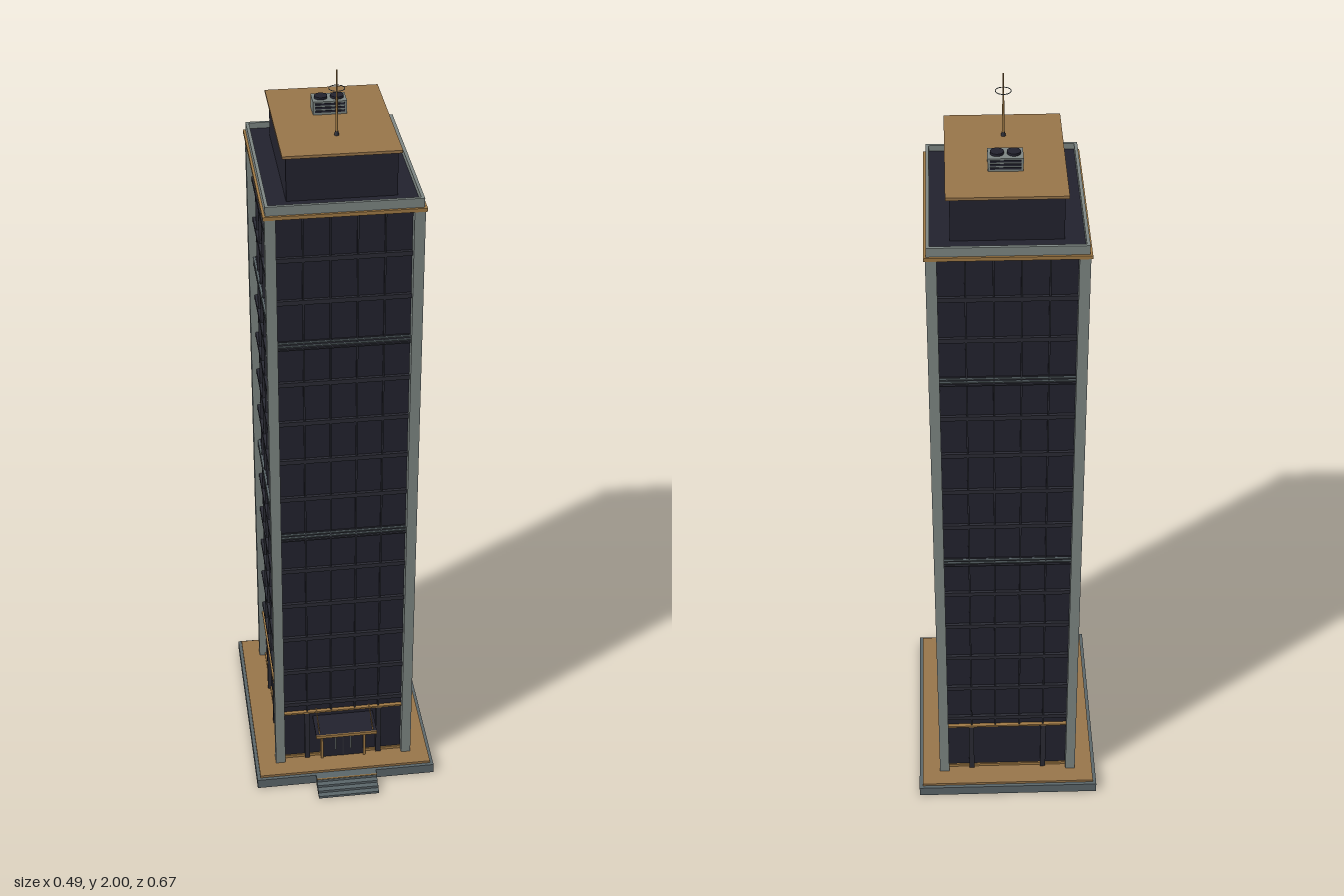
import * as THREE from 'three';

const mat = (name, color, extra = {}) => new THREE.MeshStandardMaterial({ name, color, ...extra });

export function createModel() {
  const M = {
    glass: mat('dark glass', 0x22222e),
    frame: mat('frame', 0x2a2b34),
    stone: mat('pale stone', 0x7d8683),
    slate: mat('slate', 0x5b666a),
    tan: mat('tan paving', 0x98754a),
    bronze: mat('bronze', 0xa07a45),
  };
  const model = new THREE.Group();
  model.name = 'tower';
  const CZ = -0.0315; // depth centre of the tower

  const add = (name, geo, m, x = 0, y = 0, z = 0, parent = model) => {
    const mesh = new THREE.Mesh(geo, m);
    mesh.name = name;
    mesh.position.set(x, y, z);
    parent.add(mesh);
    return mesh;
  };
  // box given by its ranges
  const box = (name, m, x0, x1, y0, y1, z0, z1, parent) =>
    add(name, new THREE.BoxGeometry(x1 - x0, y1 - y0, z1 - z0), m,
      (x0 + x1) / 2, (y0 + y1) / 2, (z0 + z1) / 2, parent);
  // box centred on the tower axis, by half sizes
  const slab = (name, m, hx, hz, y0, y1) => box(name, m, -hx, hx, y0, y1, CZ - hz, CZ + hz);
  // thin rod between two points
  const rod = (name, m, a, b, r) => {
    const d = new THREE.Vector3().subVectors(b, a);
    const mesh = add(name, new THREE.CylinderGeometry(r, r, d.length(), 8), m);
    mesh.position.copy(a).addScaledVector(d, 0.5);
    mesh.quaternion.setFromUnitVectors(new THREE.Vector3(0, 1, 0), d.normalize());
    return mesh;
  };

  // plinth and paving
  slab('plinth', M.slate, 0.245, 0.302, 0, 0.028);
  slab('paving', M.tan, 0.236, 0.293, 0.028, 0.035);

  // entrance steps
  for (let i = 0; i < 4; i++) {
    box('step', M.slate, -0.083, 0.083, 0, 0.007 * (i + 1), 0.26, 0.333 - i * 0.014);
  }
  box('stepEdge', M.bronze, -0.083, 0.083, 0.028, 0.0295, 0.286, 0.29);

  // glazed body and corner columns
  const GX = 0.168, GZ = 0.226;
  slab('glassBody', M.glass, GX, GZ, 0.035, 1.72);
  for (const sx of [-1, 1]) {
    for (const sz of [-1, 1]) {
      add('cornerColumn', new THREE.BoxGeometry(0.026, 1.672, 0.026), M.stone,
        sx * 0.175, 0.871, CZ + sz * 0.234);
    }
  }

  // floor bands
  const Y0 = 0.229, STEP = 0.1135;
  for (let i = 0; i < 14; i++) {
    const y = Y0 + i * STEP;
    if (i === 5 || i === 10) {
      // louvred service floors
      slab('louverBack', M.frame, GX + 0.004, GZ + 0.004, y - 0.018, y + 0.006);
      for (let k = 0; k < 3; k++) {
        const ly = y + 0.003 - k * 0.009;
        slab('louver', k < 2 ? M.slate : M.frame, GX + 0.009, GZ + 0.009, ly - 0.0015, ly + 0.0015);
      }
    } else {
      slab('floorBand', M.frame, GX + 0.008, GZ + 0.008, y - 0.006, y + 0.006);
    }
  }
  slab('bronzeLine', M.bronze, GX + 0.01, GZ + 0.01, 0.195, 0.2);
  slab('baseRail', M.bronze, GX + 0.004, GZ + 0.004, 0.035, 0.043);

  // mullions on all four faces
  const mullions = (count, half, place) => {
    for (let i = 1; i < count; i++) place(-half + (2 * half * i) / count);
  };
  for (const s of [-1, 1]) {
    mullions(5, 0.163, (x) => add('mullion', new THREE.BoxGeometry(0.004, 1.505, 0.012), M.frame,
      x, 0.9525, CZ + s * GZ));
    mullions(6, 0.221, (z) => add('mullion', new THREE.BoxGeometry(0.012, 1.505, 0.004), M.frame,
      s * GX, 0.9525, CZ + z));
    // ground floor piers
    for (const p of [-1, 1]) {
      add('pier', new THREE.BoxGeometry(0.014, 0.16, 0.014), M.frame, p * 0.099, 0.115, CZ + s * (GZ + 0.003));
      add('pier', new THREE.BoxGeometry(0.014, 0.16, 0.014), M.frame, s * (GX + 0.003), 0.115, CZ + p * 0.075);
    }
  }

  // tall blade on the left flank
  box('blade', M.bronze, 0.166, 0.191, 0.332, 1.482, 0.147, 0.165);

  // entrance
  const F = CZ + GZ;
  box('doorPanel', M.glass, -0.056, 0.056, 0.035, 0.15, F, F + 0.012);
  for (const s of [-1, 1]) {
    add('doorJamb', new THREE.BoxGeometry(0.006, 0.123, 0.02), M.bronze, s * 0.059, 0.0965, F + 0.008);
    add('doorHandle', new THREE.BoxGeometry(0.004, 0.045, 0.005), M.stone, s * 0.021, 0.085, F + 0.015);
  }
  box('doorHead', M.bronze, -0.062, 0.062, 0.15, 0.158, F - 0.002, F + 0.018);
  box('doorSplit', M.frame, -0.002, 0.002, 0.035, 0.15, F, F + 0.014);

  // canopy with stays
  box('canopy', M.glass, -0.083, 0.083, 0.169, 0.177, F, 0.275);
  box('canopyEdge', M.bronze, -0.083, 0.083, 0.168, 0.177, 0.275, 0.279);
  for (const s of [-1, 1]) {
    rod('canopyStay', M.bronze, new THREE.Vector3(s * 0.073, 0.177, 0.27),
      new THREE.Vector3(s * 0.073, 0.203, F), 0.0015);
  }

  // cornice and parapet
  slab('cornice', M.bronze, 0.192, 0.249, 1.705, 1.714);
  slab('roofDeck', M.glass, 0.178, 0.235, 1.714, 1.722);
  const P = { x: 0.186, z: 0.243, t: 0.008 };
  for (const s of [-1, 1]) {
    add('parapet', new THREE.BoxGeometry(2 * P.x, 0.023, P.t), M.stone, 0, 1.7255, CZ + s * (P.z - P.t / 2));
    add('parapet', new THREE.BoxGeometry(P.t, 0.023, 2 * (P.z - P.t)), M.stone, s * (P.x - P.t / 2), 1.7255, CZ);
  }

  // penthouse
  slab('penthouse', M.glass, 0.131, 0.188, 1.72, 1.832);
  slab('penthouseRoof', M.tan, 0.14, 0.197, 1.832, 1.839);

  // cooling unit
  box('coolingUnit', M.stone, -0.041, 0.041, 1.839, 1.872, -0.112, -0.06);
  for (let i = 0; i < 3; i++) {
    const y = 1.845 + i * 0.009;
    box('grille', M.glass, -0.036, 0.036, y, y + 0.005, -0.114, -0.058);
  }
  for (const s of [-1, 1]) {
    add('fan', new THREE.CylinderGeometry(0.016, 0.016, 0.006, 24), M.glass, s * 0.0195, 1.875, -0.086);
  }

  // mast with ring
  add('mastFoot', new THREE.CylinderGeometry(0.004, 0.006, 0.01, 12), M.frame, 0, 1.844, 0.06);
  add('mast', new THREE.CylinderGeometry(0.0015, 0.0035, 0.161, 10), M.bronze, 0, 1.9195, 0.06);
  const ring = add('mastRing', new THREE.TorusGeometry(0.0185, 0.001, 6, 32), M.slate, 0, 1.955, 0.06);
  ring.rotation.x = Math.PI / 2;

  return model;
}
